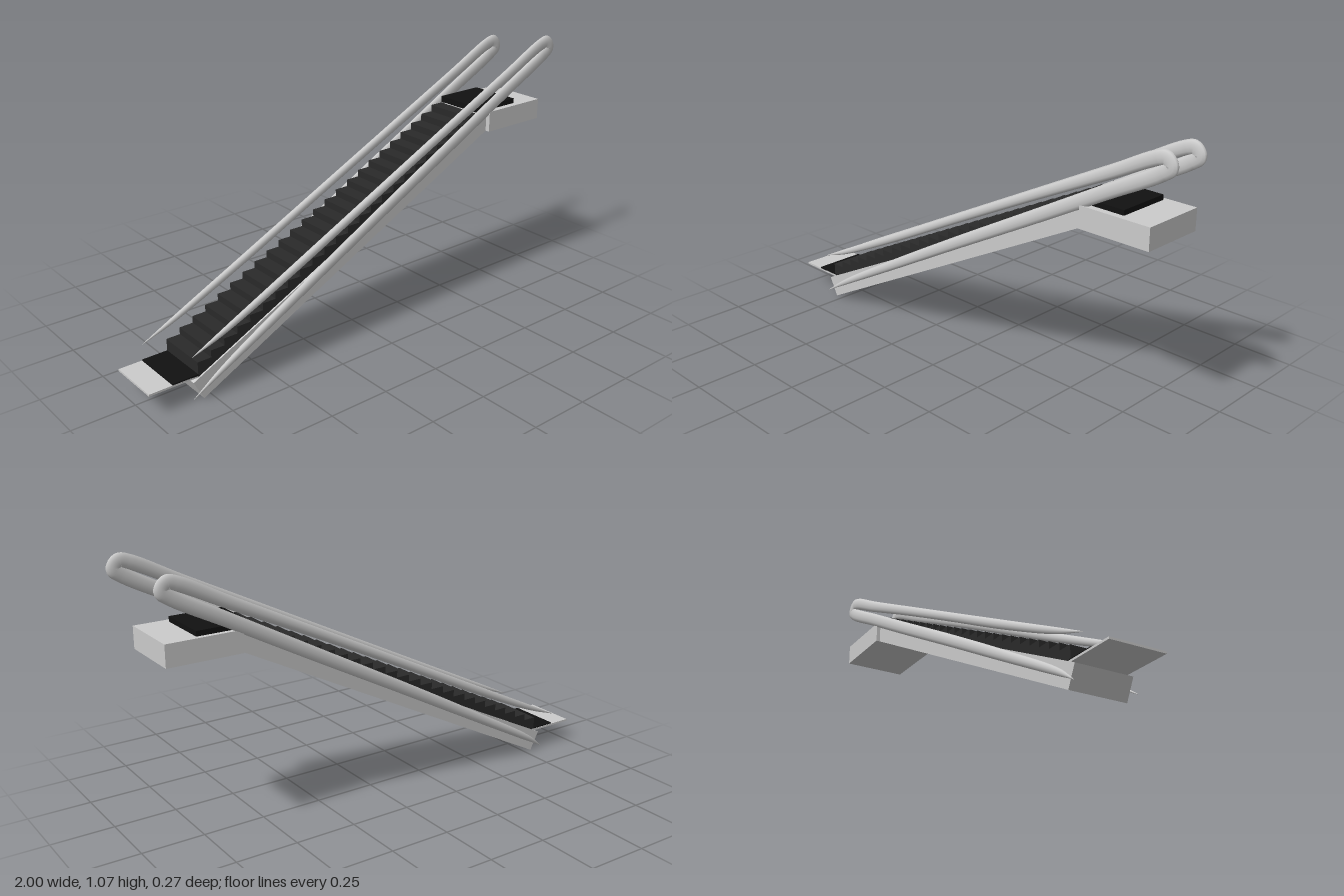
import * as THREE from 'three';

const grey = new THREE.MeshStandardMaterial({ color: 0xcccccc });
const stepMat = new THREE.MeshStandardMaterial({ color: 0x2a2a2a });
const plateMat = new THREE.MeshStandardMaterial({ color: 0x111111 });

// Box given by its limits on each axis
function box(name, mat, [x0, x1], [y0, y1], [z0, z1]) {
  const mesh = new THREE.Mesh(new THREE.BoxGeometry(x1 - x0, y1 - y0, z1 - z0), mat);
  mesh.position.set((x0 + x1) / 2, (y0 + y1) / 2, (z0 + z1) / 2);
  mesh.name = name;
  return mesh;
}

// Flattened tube swept along an upright path; each path point is (x, y, radius)
function sweep(path, halfWidth, z, segs = 100, sides = 12) {
  const pos = [], idx = [];
  for (let i = 0; i <= segs; i++) {
    const p = path.getPoint(i / segs);
    const t = path.getTangent(i / segs);
    const len = Math.hypot(t.x, t.y);
    const nx = -t.y / len, ny = t.x / len;
    const r = Math.max(p.z, 0.001);
    const w = halfWidth * Math.min(1, r / 0.018);
    for (let j = 0; j < sides; j++) {
      const a = (j / sides) * Math.PI * 2;
      pos.push(p.x + nx * r * Math.cos(a), p.y + ny * r * Math.cos(a), z + w * Math.sin(a));
      if (i < segs) {
        const k = i * sides + j, n = i * sides + (j + 1) % sides;
        idx.push(k, k + sides, n, n, k + sides, n + sides);
      }
    }
  }
  const g = new THREE.BufferGeometry();
  g.setAttribute('position', new THREE.Float32BufferAttribute(pos, 3));
  g.setIndex(idx);
  g.computeVertexNormals();
  return g;
}

// Handrail loop: up the upper strand, round the top end, down the lower strand
function handrail(name, z, dx, dy) {
  const points = [
    [-0.83, 0.187, 0.001], [-0.7, 0.242, 0.011], [-0.4, 0.385, 0.017], [0, 0.584, 0.018],
    [0.4, 0.782, 0.02], [0.73, 0.943, 0.024], [0.92, 1.037, 0.027],
    [0.955, 1.043, 0.028], [0.972, 1.018, 0.028], [0.94, 0.991, 0.028],
    [0.73, 0.878, 0.027], [0.4, 0.699, 0.026], [0, 0.484, 0.024], [-0.4, 0.265, 0.02],
    [-0.7, 0.098, 0.012],
  ].map(([x, y, r]) => new THREE.Vector3(x + dx, y + dy, r));
  points.push(new THREE.Vector3(-0.83, 0.018, 0.001));
  const mat = grey.clone();
  mat.side = THREE.DoubleSide;
  const mesh = new THREE.Mesh(sweep(new THREE.CatmullRomCurve3(points), 0.013, z), mat);
  mesh.name = name;
  return mesh;
}

export function createModel() {
  const model = new THREE.Group();
  model.name = 'escalator';

  // Sloping truss under the steps
  const profile = new THREE.Shape([
    [-0.785, 0], [0.62, 0.72], [0.62, 0.795], [-0.825, 0.078],
  ].map(([x, y]) => new THREE.Vector2(x, y)));
  const truss = new THREE.Mesh(
    new THREE.ExtrudeGeometry(profile, { depth: 0.228, bevelEnabled: false }), grey);
  truss.position.z = -0.111;
  truss.name = 'truss';
  model.add(truss);

  // Landings and their dark comb plates
  model.add(
    box('upperLanding', grey, [0.62, 0.915], [0.72, 0.805], [-0.127, 0.136]),
    box('lowerLanding', grey, [-1, -0.79], [0.089, 0.097], [-0.11, 0.11]),
    box('upperCombPlate', plateMat, [0.58, 0.79], [0.8, 0.825], [-0.108, 0.11]),
    box('lowerCombPlate', plateMat, [-0.905, -0.79], [0.095, 0.102], [-0.108, 0.11]),
  );

  // Steps
  const steps = new THREE.Group();
  steps.name = 'steps';
  const count = 24, run = 1.38 / count, rise = 0.675 / count;
  for (let i = 0; i < count; i++) {
    const x = -0.8 + i * run, y = 0.15 + i * rise;
    steps.add(box('step', stepMat, [x, x + run], [y - 0.06, y], [-0.108, 0.11]));
  }
  model.add(steps);

  // Handrails, the rear one set a little lower down the slope
  model.add(handrail('frontHandrail', 0.125, 0, 0));
  model.add(handrail('rearHandrail', -0.123, -0.06, -0.033));
  return model;
}
